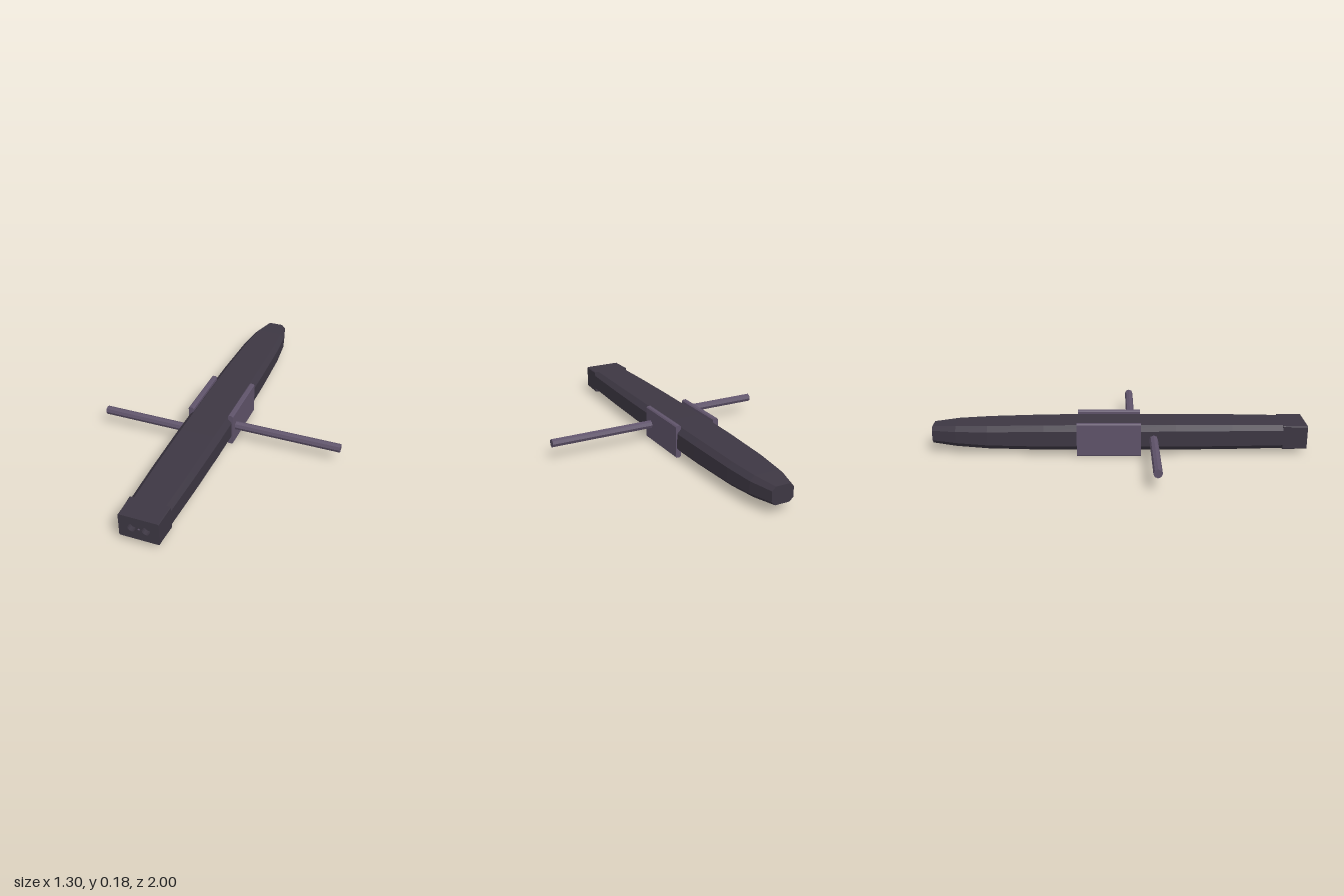
import * as THREE from 'three';

const CX = -0.06, CY = 0.094;
const dark = new THREE.MeshStandardMaterial({ color: 0x3d3743, flatShading: true });
const light = new THREE.MeshStandardMaterial({ color: 0x5f536a, flatShading: true });

// Rectangle with cut corners, counter-clockwise
function chamferedRect(w, h, c) {
  return [[w, -h + c], [w, h - c], [w - c, h], [-w + c, h],
    [-w, h - c], [-w, -h + c], [-w + c, -h], [w - c, -h]];
}

// Skin through sections [z, halfWidth, halfHeight, chamfer, yShift], front to back
function loft(sections) {
  const rings = sections.map(([z, w, h, c, dy = 0]) =>
    chamferedRect(w, h, c).map(([x, y]) => [x, y + dy, z]));
  const pos = [];
  const tri = (a, b, c) => pos.push(...a, ...b, ...c);
  for (let s = 0; s < rings.length - 1; s++) {
    for (let i = 0; i < 8; i++) {
      const j = (i + 1) % 8, f = rings[s], b = rings[s + 1];
      tri(f[i], b[i], b[j]);
      tri(f[i], b[j], f[j]);
    }
  }
  const first = rings[0], last = rings[rings.length - 1];
  for (let i = 1; i < 7; i++) {
    tri(first[0], first[i], first[i + 1]);
    tri(last[0], last[i + 1], last[i]);
  }
  const geo = new THREE.BufferGeometry();
  geo.setAttribute('position', new THREE.Float32BufferAttribute(pos, 3));
  geo.computeVertexNormals();
  return geo;
}

export function createModel() {
  const model = new THREE.Group();
  const add = (name, geo, mat, x, y, z) => {
    const mesh = new THREE.Mesh(geo, mat);
    mesh.name = name;
    mesh.position.set(x, y, z);
    model.add(mesh);
    return mesh;
  };

  // Long tapering body: square-cornered front block, then bevelled edges
  add('body', loft([
    [0.97, 0.104, 0.063, 0.004],
    [0.87, 0.107, 0.065, 0.004],
    [0.87, 0.107, 0.065, 0.024],
    [0.6, 0.115, 0.068, 0.026],
    [0.3, 0.12, 0.07, 0.028],
    [-0.1, 0.121, 0.07, 0.028],
    [-0.4, 0.118, 0.069, 0.028],
    [-0.7, 0.109, 0.063, 0.026],
    [-0.87, 0.094, 0.056, 0.025, 0.002],
    [-1, 0.06, 0.047, 0.02, 0.002],
  ]), dark, CX, CY, 0);

  // Front plate with two round sockets
  const face = new THREE.Shape(chamferedRect(0.104, 0.063, 0.004).map(p => new THREE.Vector2(...p)));
  for (const side of [-1, 1]) {
    face.holes.push(new THREE.Path().absarc(side * 0.037, 0, 0.022, 0, Math.PI * 2, true));
  }
  add('frontPlate', new THREE.ExtrudeGeometry(face, { depth: 0.03, bevelEnabled: false, curveSegments: 8 }),
    dark, CX, CY, 0.97);

  // Small stud between the sockets
  add('stud', new THREE.SphereGeometry(0.009, 8, 6), light, CX, CY, 0.994);

  // Side plates with softened long edges, and one rod on each side
  for (const side of [-1, 1]) {
    const name = side > 0 ? 'left' : 'right';
    add(name + 'SidePlate', loft([[0.17, 0.015, 0.09, 0.006], [-0.17, 0.015, 0.09, 0.006]]),
      light, CX + side * 0.113, 0.09, -0.055);

    const inner = CX + side * 0.1, outer = side * 0.648;
    const rod = add(name + 'Rod', new THREE.CylinderGeometry(0.023, 0.023, Math.abs(outer - inner), 8),
      light, (inner + outer) / 2, 0.092, side > 0 ? 0.065 : 0.182);
    rod.rotation.z = Math.PI / 2;
  }
  return model;
}
